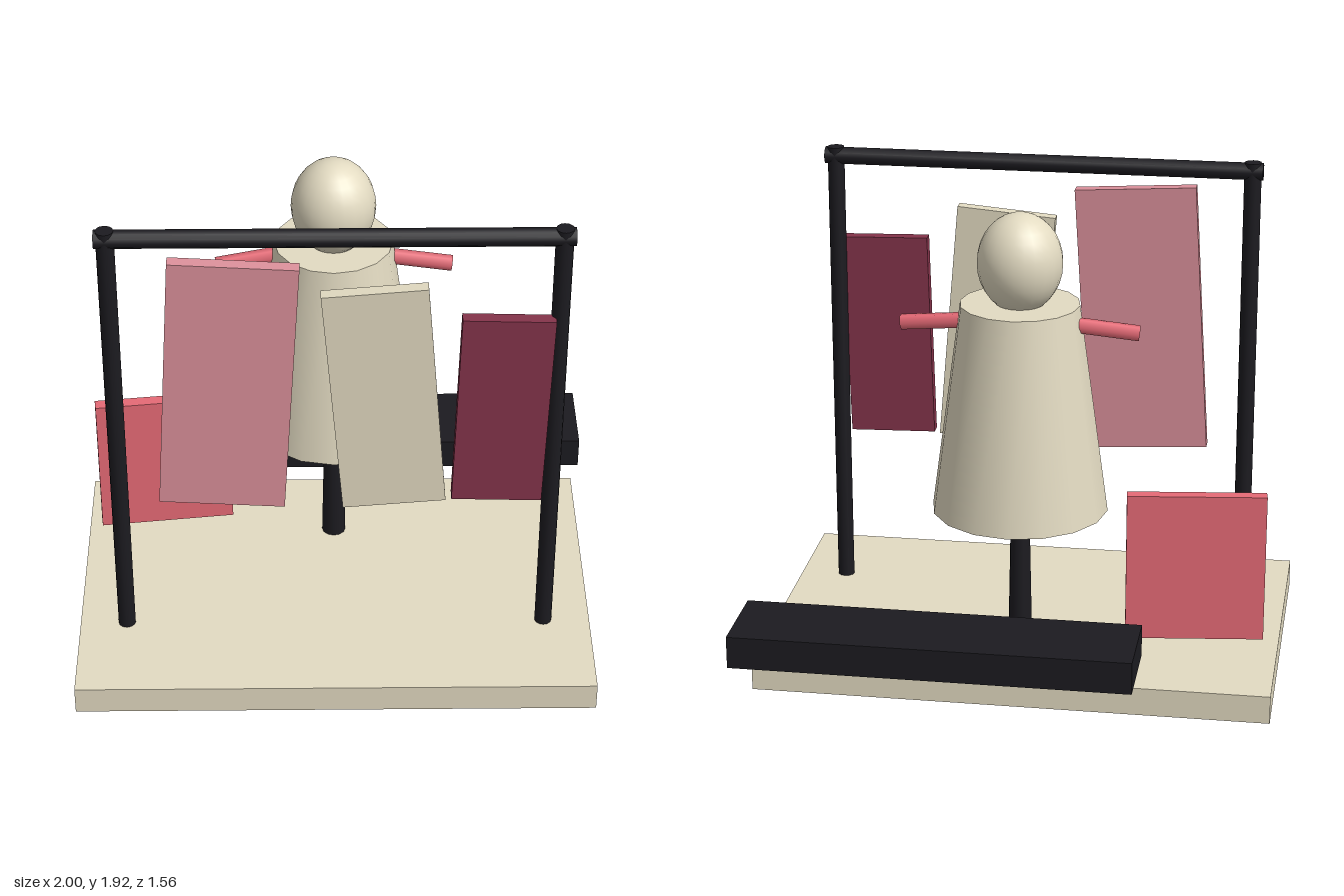
import * as THREE from 'three';

const mat = (color, side = THREE.FrontSide) => new THREE.MeshStandardMaterial({ color, side });
const cream = mat(0xe3dbc2);
const dark = mat(0x1c1b20);
const pink = mat(0xdc919b);
const maroon = mat(0x85344b);
const red = mat(0xe66a76);
const redOpen = mat(0xe66a76, THREE.DoubleSide);

export function createModel() {
  const model = new THREE.Group();
  model.name = 'dressFormAndRail';

  const add = (parent, name, geometry, material, x, y, z) => {
    const mesh = new THREE.Mesh(geometry, material);
    mesh.name = name;
    mesh.position.set(x, y, z);
    parent.add(mesh);
    return mesh;
  };
  const box = (name, w, h, d, material, x, y, z) =>
    add(model, name, new THREE.BoxGeometry(w, h, d), material, x, y, z);

  // Platform, rear bench and standing board
  box('platform', 1.98, 0.11, 1.285, cream, -0.01, 0.055, 0.138);
  box('bench', 1.51, 0.125, 0.335, dark, 0.245, 0.283, -0.615);
  box('standingBoard', 0.528, 0.585, 0.05, red, -0.682, 0.478, -0.172).rotation.y = 0.12;

  // Clothes rail: two posts and a crossbar
  const rail = new THREE.Group();
  rail.name = 'clothesRail';
  model.add(rail);
  for (const [name, x] of [['rightPost', -0.82], ['leftPost', 0.8]]) {
    add(rail, name, new THREE.CylinderGeometry(0.033, 0.033, 1.82, 12), dark, x, 1.005, 0.39);
  }
  const bar = new THREE.CylinderGeometry(0.034, 0.034, 1.7, 12).rotateZ(Math.PI / 2);
  add(rail, 'crossbar', bar, dark, -0.01, 1.88, 0.39);

  // Hanging cloth panels: width, height, colour, x, y, tilt
  const panels = [
    ['pinkPanel', 0.47, 1.06, pink, -0.402, 1.262, -0.06],
    ['creamPanel', 0.386, 0.95, cream, 0.171, 1.203, 0.084],
    ['maroonPanel', 0.337, 0.808, maroon, 0.604, 1.15, -0.027],
  ];
  for (const [name, w, h, material, x, y, tilt] of panels) {
    box(name, w, h, 0.05, material, x, y, 0.418).rotation.z = tilt;
  }

  // Dress form: pole, body, head
  const form = new THREE.Group();
  form.name = 'dressForm';
  form.position.set(-0.01, 0, -0.183);
  model.add(form);
  add(form, 'pole', new THREE.CylinderGeometry(0.035, 0.047, 0.62, 12), dark, 0, 0.41, 0);
  add(form, 'body', new THREE.CylinderGeometry(0.225, 0.335, 0.81, 16), cream, 0, 1.095, 0);
  add(form, 'head', new THREE.SphereGeometry(0.16, 24, 16), cream, 0, 1.657, 0).scale.y = 1.18;

  // Short open tube arms, drooping slightly forward
  const arms = [
    ['rightArm', [-0.15, 1.438, -0.023], [-0.445, 1.4, 0.01]],
    ['leftArm', [0.15, 1.432, -0.012], [0.45, 1.402, 0.009]],
  ];
  for (const [name, from, to] of arms) {
    const path = new THREE.LineCurve3(new THREE.Vector3(...from), new THREE.Vector3(...to));
    add(form, name, new THREE.TubeGeometry(path, 4, 0.03, 6), redOpen, 0, 0, 0);
  }

  return model;
}
